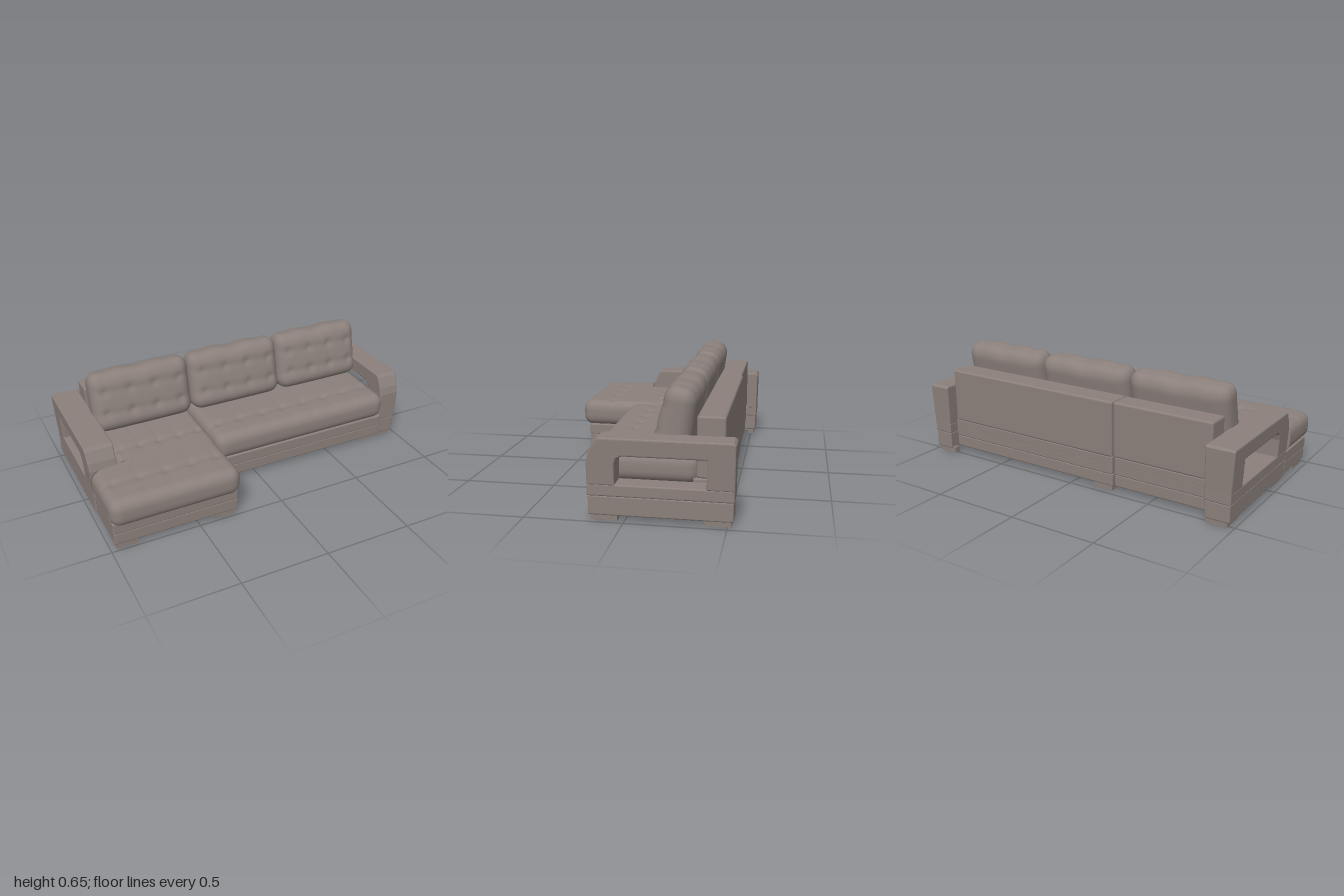
import * as THREE from 'three';
import { mergeVertices } from 'three/addons/utils/BufferGeometryUtils.js';
import { RoundedBoxGeometry } from 'three/addons/geometries/RoundedBoxGeometry.js';

const upholstery = new THREE.MeshStandardMaterial({ color: 0x8b807b });
upholstery.name = 'taupe upholstery';

function add(parent, name, geometry) {
  const mesh = new THREE.Mesh(geometry, upholstery);
  mesh.name = name;
  parent.add(mesh);
  return mesh;
}

// Rounded block between two corners
function block(parent, name, x0, x1, y0, y1, z0, z1, r = 0.008) {
  const mesh = add(parent, name, new RoundedBoxGeometry(x1 - x0, y1 - y0, z1 - z0, 2, r));
  mesh.position.set((x0 + x1) / 2, (y0 + y1) / 2, (z0 + z1) / 2);
  return mesh;
}

// Soft block centred on the origin; deform(p) reshapes each rounded point
function cushion(w, h, d, r, deform) {
  const n = s => Math.max(10, Math.round(s / 0.016));
  let geo = new THREE.BoxGeometry(w, h, d, n(w), n(h), n(d));
  geo.deleteAttribute('normal');
  geo.deleteAttribute('uv');
  geo = mergeVertices(geo, 1e-5);
  const pos = geo.attributes.position;
  const half = new THREE.Vector3(w / 2 - r, h / 2 - r, d / 2 - r);
  const low = half.clone().negate();
  const p = new THREE.Vector3(), core = new THREE.Vector3();
  for (let i = 0; i < pos.count; i++) {
    p.fromBufferAttribute(pos, i);
    core.copy(p).clamp(low, half);
    p.sub(core).setLength(r).add(core);
    deform(p);
    pos.setXYZ(i, p.x, p.y, p.z);
  }
  geo.computeVertexNormals();
  return geo;
}

const bump = (d, s) => Math.exp(-(d * d) / (s * s));

// Depth of button dents plus the shallow creases joining them
function tufting(u, v, columns, rows) {
  let dent = 0;
  for (const b of rows) {
    dent += 0.004 * bump(v - b, 0.018);
    for (const a of columns) dent += 0.009 * bump(u - a, 0.022) * bump(v - b, 0.022);
  }
  for (const a of columns) dent += 0.002 * bump(u - a, 0.015);
  return dent;
}

const spread = (x0, x1, count) =>
  Array.from({ length: count }, (_, i) => x0 + (x1 - x0) * (i + 0.5) / count);

// Seat cushion; xBack narrows its left edge behind the arm front
function seat(parent, name, x0, x1, y0, y1, z0, z1, columns, rows, xBack = x0) {
  const cx = (x0 + x1) / 2, cy = (y0 + y1) / 2, cz = (z0 + z1) / 2;
  const tufts = spread(x0, x1, columns);
  const geo = cushion(x1 - x0, y1 - y0, z1 - z0, 0.06, p => {
    const x = p.x + cx, z = p.z + cz;
    const top = THREE.MathUtils.smoothstep(p.y, 0, (y1 - y0) / 2);
    p.y -= top * tufting(x, z, tufts, rows);
    if (z < 0.19) p.x = x1 - (x1 - x) * (x1 - xBack) / (x1 - x0) - cx;
  });
  add(parent, name, geo).position.set(cx, cy, cz);
}

// Leaning back pillow with a fuller base and buttoned front
function backPillow(parent, x0, x1) {
  const w = x1 - x0, h = 0.345, d = 0.185;
  const columns = spread(-w / 2, w / 2, 4);
  const geo = cushion(w, h, d, 0.07, p => {
    const u = 2 * p.x / w, v = 2 * p.y / h;
    const front = THREE.MathUtils.smoothstep(p.z, 0, d / 2);
    p.z -= front * tufting(p.x, p.y, columns, [0.065, -0.06]);
    p.z *= 1.02 - 0.12 * v - 0.1 * u * u;
    if (v > 0) p.y += v * (0.006 * u * u - 0.004 * Math.cos(u * 9));
    p.x *= 1.0 + 0.012 * v * v;
  });
  const mesh = add(parent, 'backPillow', geo);
  mesh.position.set((x0 + x1) / 2, 0.475, -0.228);
  mesh.rotation.x = -0.2;
}

// Open arm: a sloped frame standing on a panelled base
function arm(parent, name, x0, x1, side) {
  const group = new THREE.Group();
  group.name = name;
  parent.add(group);
  const shape = new THREE.Shape([
    [0.183, 0.18], [0.183, 0.3], [0.172, 0.345], [0.142, 0.405], [0.125, 0.42],
    [-0.525, 0.42], [-0.537, 0.408], [-0.534, 0.18], [-0.4, 0.18], [-0.4, 0.33],
    [0.01, 0.33], [0.035, 0.315], [0.045, 0.285], [0.045, 0.18],
  ].map(([z, y]) => new THREE.Vector2(z, y)));
  const bevel = 0.009;
  const geo = new THREE.ExtrudeGeometry(shape, {
    depth: x1 - x0 - 2 * bevel, bevelThickness: bevel, bevelSize: bevel,
    bevelOffset: -bevel, bevelSegments: 3,
  });
  geo.rotateY(-Math.PI / 2);
  geo.translate(x1 - bevel, 0, 0);
  // The outer face leans in slightly towards the base
  const pos = geo.attributes.position;
  for (let i = 0; i < pos.count; i++) {
    const outer = side > 0 ? (pos.getX(i) - x0) / (x1 - x0) : (x1 - pos.getX(i)) / (x1 - x0);
    pos.setX(i, pos.getX(i) - side * 0.014 * outer * (0.42 - pos.getY(i)) / 0.24);
  }
  geo.computeVertexNormals();
  add(group, 'armFrame', geo);
  const inset = 0.015;
  const a = side > 0 ? x0 : x0 + inset, b = side > 0 ? x1 - inset : x1;
  block(group, 'armBaseUpper', a, b, 0.125, 0.186, -0.534, 0.183);
  block(group, 'armBaseLower', a + 0.003, b - 0.003, 0.028, 0.127, -0.53, 0.179);
}

// Low corner foot made of two crossing strips; sx, sz point to its corner
function foot(parent, x, z, sx, sz) {
  const group = new THREE.Group();
  group.name = 'cornerFoot';
  group.position.set(x, 0.017, z);
  parent.add(group);
  add(group, 'footStripX', new THREE.BoxGeometry(0.12, 0.034, 0.035)).position.set(-sx * 0.06, 0, -sz * 0.0175);
  add(group, 'footStripZ', new THREE.BoxGeometry(0.035, 0.034, 0.13)).position.set(-sx * 0.0175, 0, -sz * 0.065);
}

export function createModel() {
  const sofa = new THREE.Group();
  sofa.name = 'cornerSofa';

  // Panelled bases
  for (const [y0, y1, inset] of [[0.03, 0.1, 0.003], [0.098, 0.165, 0]]) {
    block(sofa, 'chaiseBaseFront', -0.98 + inset, -0.268, y0, y1, 0.188, 0.493 - inset);
    block(sofa, 'chaiseBaseRear', -0.842, -0.268, y0, y1, -0.464 + inset, 0.25);
    block(sofa, 'mainBase', -0.26, 0.87, y0, y1, -0.472 + inset, 0.192 - inset);
  }
  block(sofa, 'chaiseBaseRearPanel', -0.842, -0.268, 0.155, 0.203, -0.464, -0.32);
  block(sofa, 'mainBaseRearPanel', -0.26, 0.87, 0.155, 0.203, -0.472, -0.32);

  // Backrests
  block(sofa, 'chaiseBackrest', -0.845, -0.262, 0.2, 0.51, -0.468, -0.335, 0.012);
  block(sofa, 'mainBackrest', -0.26, 0.862, 0.2, 0.512, -0.477, -0.335, 0.012);

  // Seats
  seat(sofa, 'chaiseSeat', -0.993, -0.26, 0.155, 0.315, -0.35, 0.537, 5, [0.06, 0.35], -0.838);
  seat(sofa, 'mainSeat', -0.258, 0.872, 0.165, 0.322, -0.35, 0.22, 8, [0.06]);

  // Back pillows
  backPillow(sofa, -0.85, -0.258);
  backPillow(sofa, -0.25, 0.325);
  backPillow(sofa, 0.33, 0.885);

  // Arms
  arm(sofa, 'leftArm', 0.866, 0.998, 1);
  arm(sofa, 'rightArm', -1, -0.838, -1);

  // Feet: x, z, and the corner each one follows
  for (const [x, z, sx, sz] of [
    [-0.965, 0.485, -1, 1], [-0.285, 0.485, 1, 1],
    [-0.252, 0.165, -1, 1], [0.85, 0.165, 1, 1],
    [0.967, 0.165, 1, 1], [0.967, -0.52, 1, -1],
    [-0.965, 0.165, -1, 1], [-0.965, -0.52, -1, -1],
    [-0.252, -0.462, -1, -1],
  ]) foot(sofa, x, z, sx, sz);

  return sofa;
}
